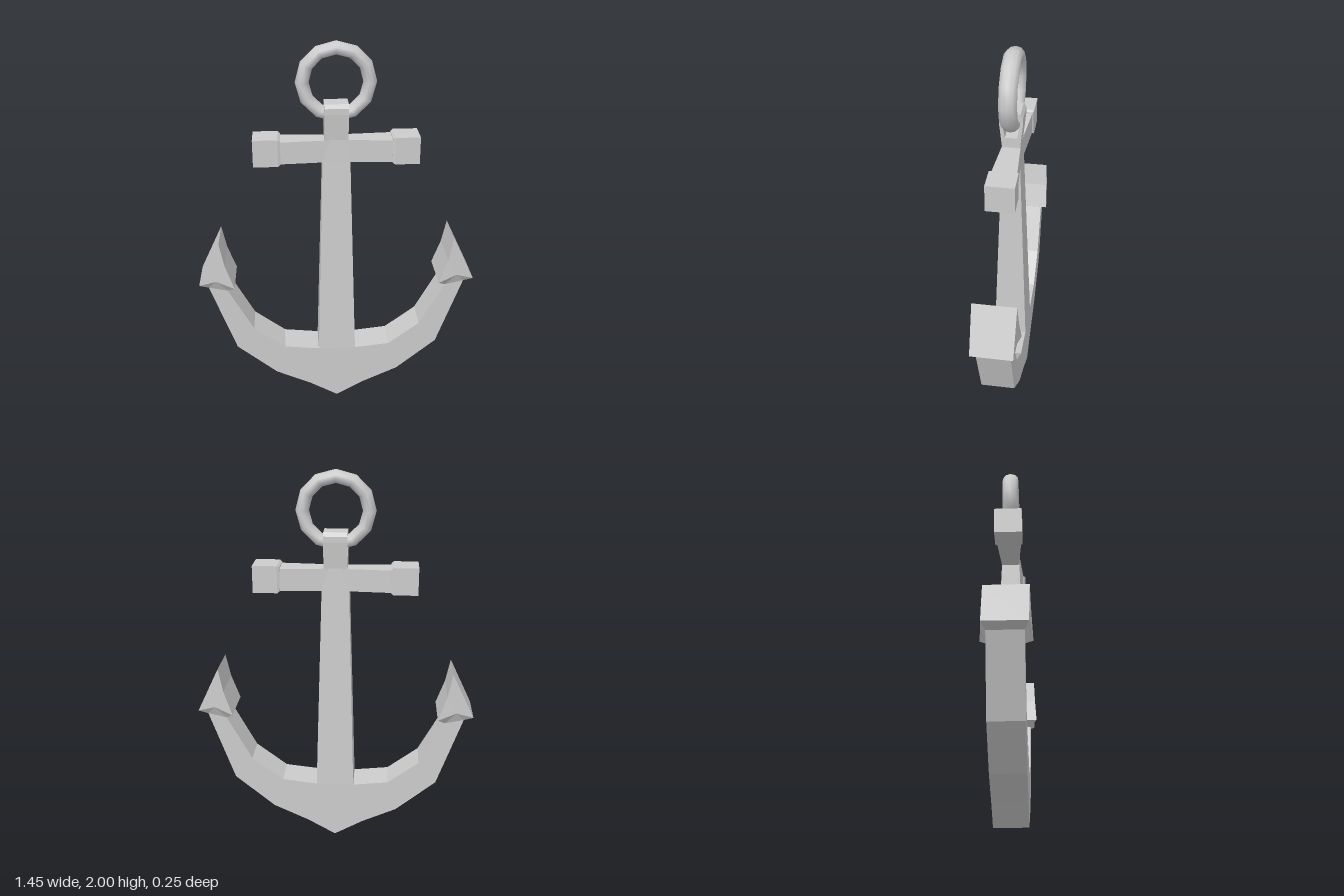
import * as THREE from 'three';

const flat = new THREE.MeshStandardMaterial({ color: 0xcccccc, flatShading: true });
const smooth = new THREE.MeshStandardMaterial({ color: 0xcccccc });

function add(parent, name, geometry, material = flat) {
  const mesh = new THREE.Mesh(geometry, material);
  mesh.name = name;
  parent.add(mesh);
  return mesh;
}

// Box along y whose half width and half depth change from bottom to top
function frustum(y0, y1, [x0, z0], [x1, z1]) {
  const geo = new THREE.BoxGeometry(2, 1, 2);
  const p = geo.attributes.position;
  for (let i = 0; i < p.count; i++) {
    const top = p.getY(i) > 0;
    p.setXYZ(i, p.getX(i) * (top ? x1 : x0), top ? y1 : y0, p.getZ(i) * (top ? z1 : z0));
  }
  geo.computeVertexNormals();
  return geo;
}

// Pointed barb with a notched underside that flares out of the arm
function barbGeometry() {
  const A = [0.61, 0.985, 0.11], B = [0.585, 0.86, 0.115], C = [0.54, 0.73, 0.123];
  const D = [0.635, 0.77, 0.113], E = [0.725, 0.745, 0.107];
  const N1 = [0.58, 0.7, 0.087], N2 = [0.678, 0.722, 0.087];
  const back = ([x, y, z]) => [x, y, -z];
  const out = [];
  const tri = (a, b, c) => out.push(...a, ...b, ...c);
  for (const [a, b, c] of [[A, B, D], [B, C, D], [A, D, E], [C, N1, D], [D, N1, N2], [D, N2, E]]) {
    tri(a, b, c);
    tri(back(c), back(b), back(a));
  }
  const rim = [A, B, C, N1, N2, E];
  rim.forEach((p, i) => {
    const q = rim[(i + 1) % rim.length];
    tri(q, p, back(p));
    tri(q, back(p), back(q));
  });
  const geo = new THREE.BufferGeometry();
  geo.setAttribute('position', new THREE.Float32BufferAttribute(out, 3));
  geo.computeVertexNormals();
  return geo;
}

export function createModel() {
  const model = new THREE.Group();
  model.name = 'anchor';

  // Curved arms, one extruded outline mirrored about the middle
  const half = [
    [0.15, 0.085], [0.335, 0.17], [0.545, 0.345], [0.678, 0.722],
    [0.58, 0.7], [0.45, 0.46], [0.285, 0.335], [0.1, 0.315],
  ];
  const outline = [[0, 0], ...half, ...half.map(([x, y]) => [-x, y]).reverse()];
  const armShape = new THREE.Shape(outline.map(([x, y]) => new THREE.Vector2(x, y)));
  const arms = new THREE.ExtrudeGeometry(armShape, { depth: 0.174, bevelEnabled: false });
  arms.translate(0, 0, -0.087);
  add(model, 'arms', arms);

  // Shank
  add(model, 'shank', frustum(0.315, 1.4, [0.1, 0.087], [0.07, 0.047]));
  add(model, 'shankTop', frustum(1.4, 1.52, [0.07, 0.047], [0.06, 0.044]));

  // Eye at the head of the shank, with an opening for the ring
  const eye = new THREE.Shape([
    [-0.044, 1.515], [0.044, 1.515], [0.058, 1.65], [0.058, 1.68],
    [0.045, 1.7], [-0.045, 1.7], [-0.058, 1.68], [-0.058, 1.65],
  ].map(([z, y]) => new THREE.Vector2(z, y)));
  eye.holes.push(new THREE.Path([
    [-0.03, 1.57], [-0.044, 1.65], [-0.035, 1.675], [0.035, 1.675], [0.044, 1.65], [0.03, 1.57],
  ].map(([z, y]) => new THREE.Vector2(z, y))));
  const eyeGeo = new THREE.ExtrudeGeometry(eye, { depth: 0.12, bevelEnabled: false });
  eyeGeo.translate(0, 0, -0.06).rotateY(Math.PI / 2);
  add(model, 'eye', eyeGeo);

  // Ring, slightly deeper than it is thick
  const ring = add(model, 'ring', new THREE.TorusGeometry(0.167, 0.034, 10, 12), smooth);
  ring.scale.z = 1.3;
  ring.position.y = 1.8;

  // Stock halves with end blocks, and the barbs; the second side is turned round
  for (const [side, angle] of [['left', 0], ['right', Math.PI]]) {
    const group = new THREE.Group();
    group.name = side + 'Side';
    group.rotation.y = angle;
    model.add(group);

    const bar = frustum(0, 0.29, [0.0575, 0.042], [0.0575, 0.062]);
    add(group, 'stock', bar.rotateZ(-Math.PI / 2).translate(0, 1.4575, 0));
    const collar = frustum(0.28, 0.292, [0.061, 0.064], [0.07, 0.07]);
    add(group, 'stockCollar', collar.rotateZ(-Math.PI / 2).translate(0, 1.46, 0));
    const block = frustum(0.292, 0.417, [0.07, 0.07], [0.07, 0.07]);
    add(group, 'stockEnd', block.rotateZ(-Math.PI / 2).translate(0, 1.46, 0));
    add(group, 'barb', barbGeometry());
  }
  return model;
}
